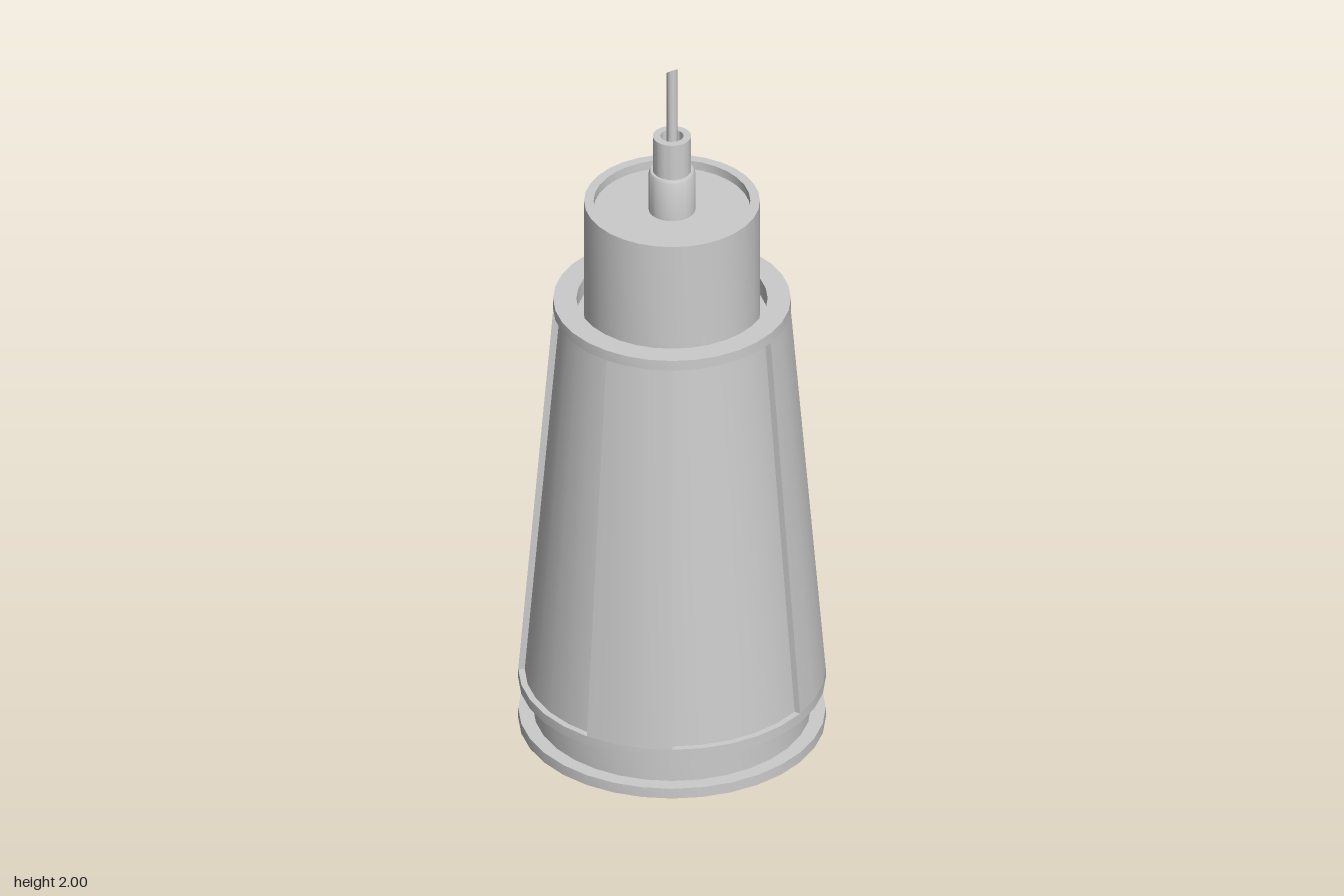
import * as THREE from 'three';
import { toCreasedNormals } from 'three/addons/utils/BufferGeometryUtils.js';

const SIDES = 32;
const STEP = (Math.PI * 2) / SIDES;
const grey = new THREE.MeshStandardMaterial({ color: 0xcccccc });
const greyDouble = new THREE.MeshStandardMaterial({ color: 0xcccccc, side: THREE.DoubleSide });

// Turned part from [radius, height] pairs, outside running bottom to top
function turned(name, profile, sides = SIDES, start = STEP / 2, sweep = Math.PI * 2) {
  const points = profile.map(([r, y]) => new THREE.Vector2(r, y));
  const geometry = toCreasedNormals(new THREE.LatheGeometry(points, sides, start, sweep), 0.6);
  const mesh = new THREE.Mesh(geometry, grey);
  mesh.name = name;
  return mesh;
}

// Raised strip between two recessed panels, with its two side walls
function raisedStrip(centre) {
  const strip = new THREE.Group();
  strip.name = 'raisedStrip';
  const half = 1.5 * STEP;
  strip.add(turned('stripFace', [[0.402, 0.15], [0.31, 1.262]], 3, centre - half, 2 * half));
  const wall = new THREE.Shape([[0.37, 0.15], [0.402, 0.15], [0.31, 1.262], [0.278, 1.262]]
    .map(([x, y]) => new THREE.Vector2(x, y)));
  for (const side of [-1, 1]) {
    const mesh = new THREE.Mesh(new THREE.ShapeGeometry(wall), greyDouble);
    mesh.name = 'stripWall';
    mesh.rotation.y = centre + side * half - Math.PI / 2;
    strip.add(mesh);
  }
  return strip;
}

export function createModel() {
  const model = new THREE.Group();
  model.name = 'taperedDispenser';

  // Foot with a shallow hollow below, neck and lower flange
  model.add(turned('base', [
    [0, 0.012], [0.365, 0.012], [0.365, 0], [0.402, 0], [0.402, 0.03], [0.363, 0.03],
    [0.363, 0.122], [0.402, 0.122], [0.402, 0.15], [0.36, 0.15],
  ]));

  // Tapered body at panel depth, with the top rim and the gap inside it
  model.add(turned('body', [
    [0.385, 0.15], [0.292, 1.26], [0.311, 1.26], [0.311, 1.29],
    [0.25, 1.29], [0.25, 1.24], [0.22, 1.24],
  ]));
  for (let i = 0; i < 4; i++) model.add(raisedStrip(Math.PI / 4 + (i * Math.PI) / 2));

  // Upper cylinder with a recessed top
  model.add(turned('collar', [
    [0.23, 1.23], [0.23, 1.59], [0.205, 1.59], [0.205, 1.565], [0, 1.565],
  ]));

  // Stepped nozzle with an open mouth
  model.add(turned('nozzle', [
    [0.061, 1.56], [0.061, 1.677], [0.057, 1.685], [0.05, 1.685], [0.05, 1.79],
    [0.03, 1.79], [0.03, 1.75], [0, 1.75],
  ]));

  // Hollow needle, its tip cut on a slant
  const r = 0.014;
  const needle = turned('needle', [[r, 1.74], [r, 2], [0.008, 2], [0.008, 1.9], [0, 1.9]], 16, 0);
  const pos = needle.geometry.attributes.position;
  for (let i = 0; i < pos.count; i++) {
    if (pos.getY(i) > 1.99) pos.setY(i, 2 + (pos.getZ(i) - r) * 0.8);
  }
  needle.geometry = toCreasedNormals(needle.geometry, 0.6);
  model.add(needle);

  return model;
}
